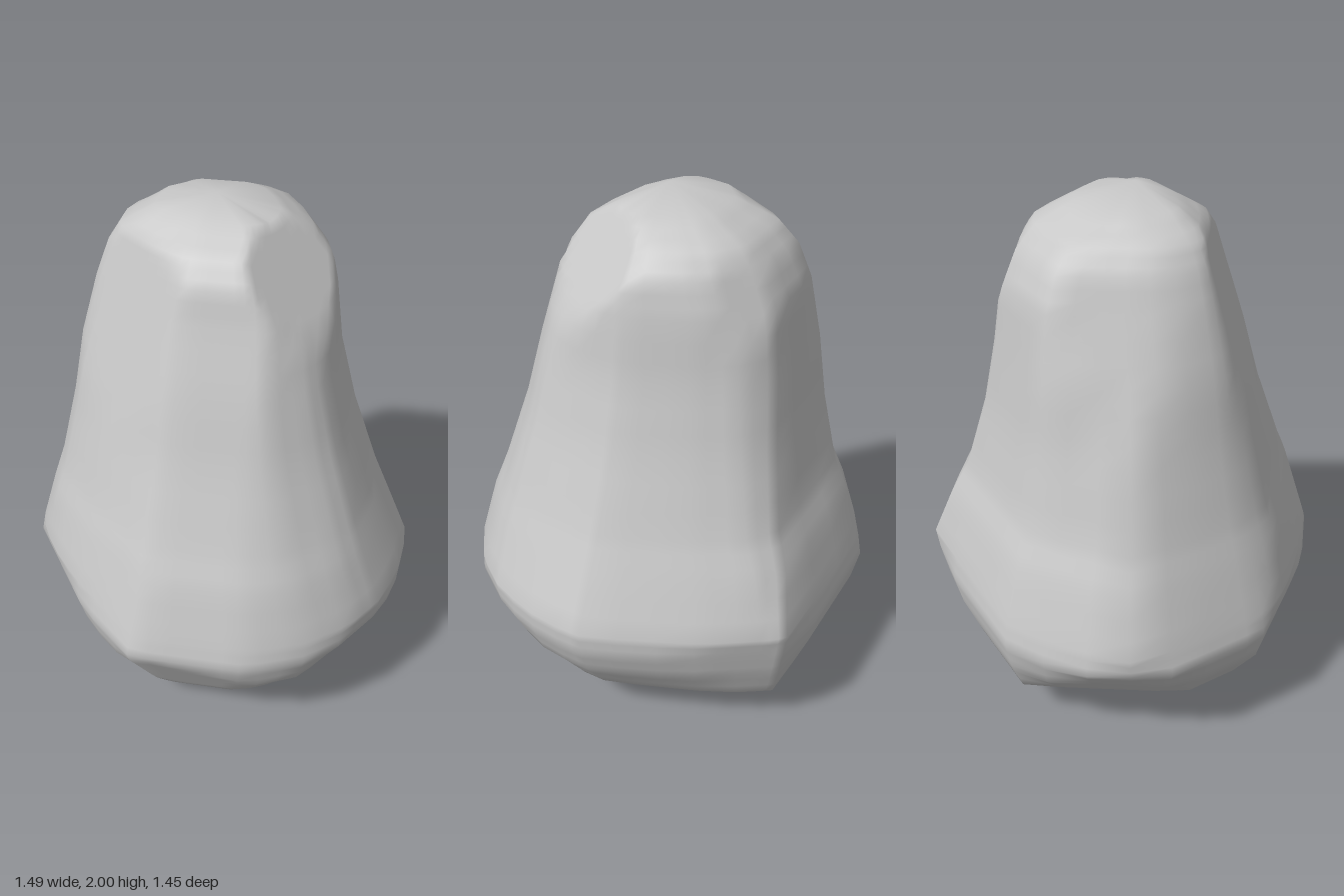
import * as THREE from 'three';

// Matching corners of the wide lower outline and the narrow upper outline: [x, z, x, z]
const CORNERS = [
  [0.74, 0.05, 0.41, 0.05], [0.65, 0.37, 0.37, 0.22], [0.58, 0.48, 0.31, 0.28],
  [0.40, 0.62, 0.20, 0.35], [0.18, 0.71, 0.10, 0.36], [0.00, 0.72, 0.00, 0.36],
  [-0.23, 0.69, -0.12, 0.34], [-0.48, 0.47, -0.29, 0.24], [-0.68, 0.25, -0.42, 0.13],
  [-0.745, 0.03, -0.475, 0], [-0.71, -0.44, -0.42, -0.28], [-0.30, -0.72, -0.22, -0.46],
  [0.38, -0.69, 0.10, -0.47], [0.44, -0.63, 0.24, -0.38], [0.56, -0.42, 0.32, -0.25],
  [0.73, -0.05, 0.40, -0.06],
];

// Directions in which the reach of each level is given
const DIRECTIONS = [
  [-1, 0], [1, 0], [0, -1], [0, 1],
  [0.82, 0.57], [-0.82, 0.57], [-0.82, -0.57], [0.82, -0.57],
];

// Height, then the reach in each direction
const LEVELS = [
  [0.06, 0.40, 0.42, 0.40, 0.40, 0.36, 0.37, 0.42, 0.47],
  [0.12, 0.52, 0.49, 0.53, 0.52, 0.43, 0.47, 0.48, 0.54],
  [0.20, 0.60, 0.58, 0.64, 0.58, 0.52, 0.57, 0.57, 0.61],
  [0.36, 0.71, 0.69, 0.70, 0.69, 0.67, 0.64, 0.71, 0.67],
  [0.48, 0.745, 0.735, 0.725, 0.72, 0.74, 0.67, 0.80, 0.70],
  [0.57, 0.725, 0.74, 0.71, 0.70, 0.75, 0.685, 0.82, 0.72],
  [0.78, 0.665, 0.65, 0.65, 0.64, 0.68, 0.69, 0.79, 0.68],
  [0.92, 0.62, 0.59, 0.59, 0.58, 0.63, 0.66, 0.73, 0.61],
  [1.20, 0.555, 0.49, 0.53, 0.48, 0.54, 0.56, 0.61, 0.52],
  [1.45, 0.51, 0.425, 0.495, 0.41, 0.46, 0.47, 0.51, 0.45],
  [1.68, 0.445, 0.395, 0.465, 0.335, 0.39, 0.41, 0.43, 0.41],
  [1.80, 0.40, 0.37, 0.41, 0.305, 0.35, 0.37, 0.39, 0.37],
  [1.88, 0.35, 0.31, 0.34, 0.25, 0.30, 0.34, 0.34, 0.32],
  [1.95, 0.23, 0.19, 0.20, 0.13, 0.22, 0.25, 0.27, 0.22],
];

// Chiselled faces: outward normal and a point on the face
const CUTS = [
  [[0.71, 0.56, 0.43], [0.39, 1.68, 0.05]],    // upper front left
  [[-0.6, 0.3, 0.74], [-0.24, 1.74, 0.2]],     // upper front right
  [[0.55, 0.35, -0.75], [0.24, 1.74, -0.33]],  // upper back left
  [[-0.05, -0.5, 0.86], [-0.05, 0.2, 0.57]],   // lower front
];

const STEPS = 3; // subdivisions per outline edge and per level

// Corners with extra points along every edge
const OUTLINE = CORNERS.flatMap((a, i) => {
  const b = CORNERS[(i + 1) % CORNERS.length];
  return Array.from({ length: STEPS }, (_, s) => a.map((v, j) => v + (b[j] - v) * (s / STEPS)));
});

// Outline at one level: blended shape, slightly oversized, trimmed to the reach in each direction
function makeRing([y, ...reach]) {
  const [x0, x1, z0, z1] = reach;
  const t = THREE.MathUtils.clamp((y - 0.5) / 1.1, 0, 1);
  return OUTLINE.map(([bx, bz, tx, tz]) => {
    const ux = THREE.MathUtils.lerp(bx / 0.745, tx / (tx > 0 ? 0.41 : 0.475), t);
    const uz = THREE.MathUtils.lerp(bz / 0.72, tz / (tz > 0 ? 0.36 : 0.47), t);
    const x = ux * (ux > 0 ? x1 : x0) * 1.03;
    const z = uz * (uz > 0 ? z1 : z0) * 1.03;
    const over = Math.max(1, ...DIRECTIONS.map(([dx, dz], i) => (x * dx + z * dz) / reach[i]));
    return new THREE.Vector3(x / over, y, z / over);
  });
}

function rockGeometry() {
  // Small foot ring on the ground, then the body rings
  const foot = OUTLINE.map(([x, z]) => new THREE.Vector3(-0.12 + x * 0.11, 0, 0.15 + z * 0.07));
  const rings = [foot, ...LEVELS.map(makeRing)];
  const n = OUTLINE.length;
  const rows = (rings.length - 1) * STEPS + 1;
  const points = [];
  for (let r = 0; r < rows; r++) {
    const i = Math.min(Math.floor(r / STEPS), rings.length - 2);
    for (let k = 0; k < n; k++) {
      points.push(rings[i][k].clone().lerp(rings[i + 1][k], r / STEPS - i));
    }
  }
  // Press anything outside a chiselled face back onto it
  for (const [normal, on] of CUTS) {
    const plane = new THREE.Plane().setFromNormalAndCoplanarPoint(
      new THREE.Vector3(...normal).normalize(), new THREE.Vector3(...on));
    for (const p of points) {
      const d = plane.distanceToPoint(p);
      if (d > 0) p.addScaledVector(plane.normal, -d);
    }
  }
  const bottom = points.push(new THREE.Vector3(-0.12, 0, 0.15)) - 1;
  const top = points.push(new THREE.Vector3(-0.02, 2, 0)) - 1;

  const index = [];
  const last = (rows - 1) * n;
  for (let k = 0; k < n; k++) {
    const m = (k + 1) % n;
    index.push(bottom, k, m, last + k, top, last + m);
    for (let r = 0; r < rows - 1; r++) {
      const a = r * n + k, b = r * n + m;
      index.push(a, a + n, b, b, a + n, b + n);
    }
  }
  const geometry = new THREE.BufferGeometry().setFromPoints(points);
  geometry.setIndex(index);
  geometry.computeVertexNormals();
  return geometry;
}

export function createModel() {
  const group = new THREE.Group();
  group.name = 'rock';
  const stone = new THREE.MeshStandardMaterial({ color: 0xc8c8c8 });
  stone.name = 'grey stone';
  const boulder = new THREE.Mesh(rockGeometry(), stone);
  boulder.name = 'boulder';
  group.add(boulder);
  return group;
}
